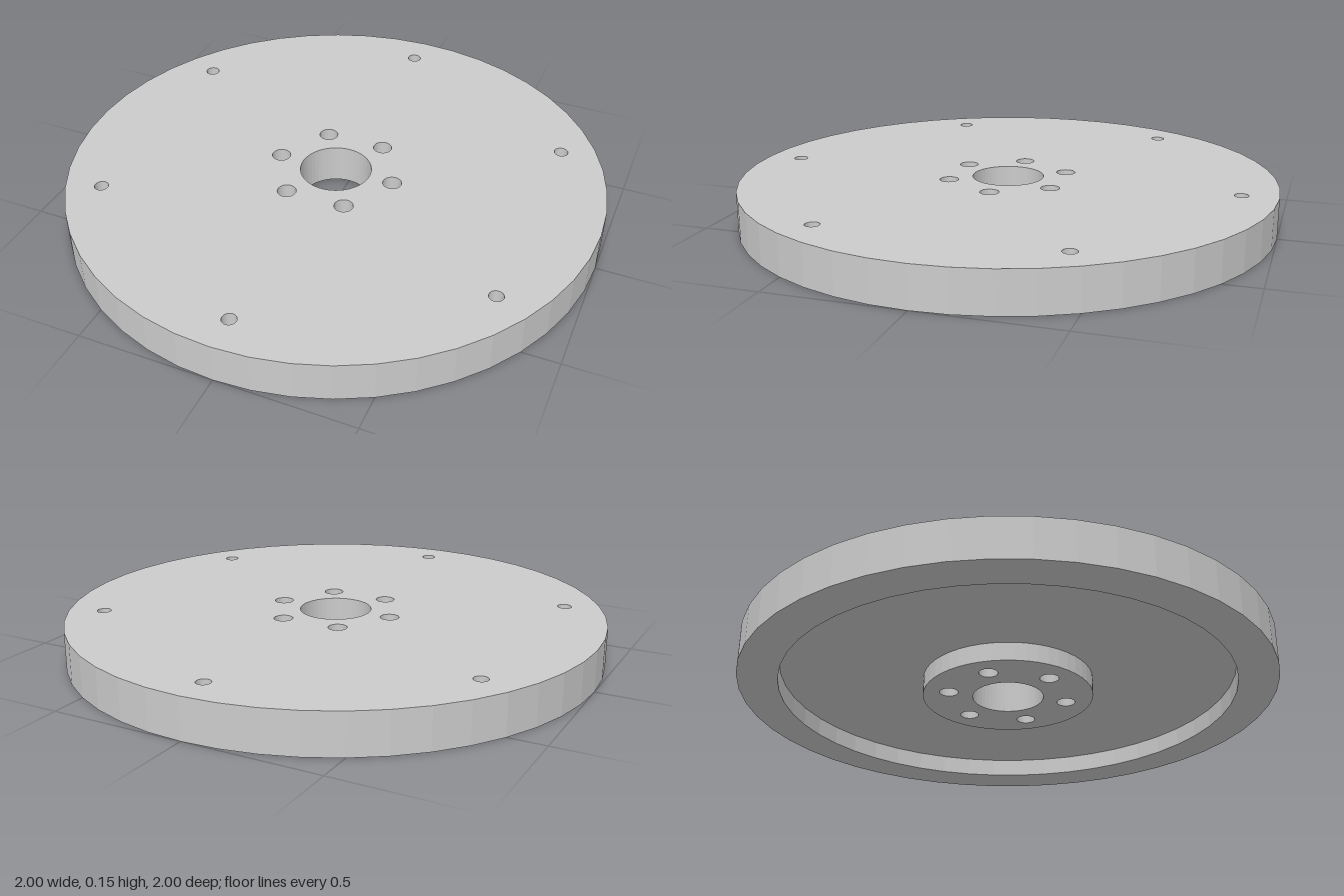
import * as THREE from 'three';

const HEIGHT = 0.15, OUTER = 1, RECESS = 0.853, HUB = 0.32, BORE = 0.133;
const RECESS_Y = 0.07, BLIND_Y = 0.08;
const material = new THREE.MeshStandardMaterial({ color: 0xcccccc, flatShading: true });

// Regular polygon standing in for a circle
function ring(r, n, cx = 0, cy = 0) {
  return Array.from({ length: n }, (_, i) => {
    const a = (i / n) * Math.PI * 2;
    return new THREE.Vector2(cx + r * Math.cos(a), cy + r * Math.sin(a));
  });
}

// Six [x, z] centres on a bolt circle
function boltCircle(r, start) {
  return Array.from({ length: 6 }, (_, i) => {
    const a = start + (i * Math.PI) / 3;
    return [r * Math.cos(a), r * Math.sin(a)];
  });
}

export function createModel() {
  const model = new THREE.Group();
  model.name = 'flangedDisc';

  const add = (name, geometry) => {
    const mesh = new THREE.Mesh(geometry, material);
    mesh.name = name;
    model.add(mesh);
  };

  // Flat horizontal face with holes, looking up or down
  const face = (name, outline, holes, y, up) => {
    const shape = new THREE.Shape(outline);
    shape.holes = holes.map((h) => new THREE.Path(h));
    add(name, new THREE.ShapeGeometry(shape).rotateX(up ? -Math.PI / 2 : Math.PI / 2).translate(0, y, 0));
  };

  // Upright round wall, facing outward or inward
  const wall = (name, r, n, y0, y1, inward, x = 0, z = 0) => {
    let g = new THREE.CylinderGeometry(r, r, y1 - y0, n, 1, true);
    if (inward) g.scale(-1, 1, 1);
    g = g.toNonIndexed();
    g.computeVertexNormals();
    add(name, g.translate(x, (y0 + y1) / 2, z));
  };

  const bolts = boltCircle(0.225, 0);
  const blinds = boltCircle(0.868, Math.PI / 6);
  const bore = ring(BORE, 48);
  const boltHoles = bolts.map(([x, z]) => ring(0.035, 24, x, z));
  const blindHoles = blinds.map(([x, z]) => ring(0.026, 24, x, z));

  // Top and outer edge
  face('topFace', ring(OUTER, 48), [bore, ...boltHoles, ...blindHoles], HEIGHT, true);
  wall('outerEdge', OUTER, 48, 0, HEIGHT, false);

  // Underside: rim, recess and hub
  face('rimUnderside', ring(OUTER, 48), [ring(RECESS, 48)], 0, false);
  wall('recessOuterWall', RECESS, 48, 0, RECESS_Y, true);
  face('recessFloor', ring(RECESS, 48), [ring(HUB, 48)], RECESS_Y, false);
  wall('hubWall', HUB, 48, 0, RECESS_Y, false);
  face('hubUnderside', ring(HUB, 48), [bore, ...boltHoles], 0, false);

  // Through holes
  wall('centreBore', BORE, 48, 0, HEIGHT, true);
  bolts.forEach(([x, z]) => wall('boltHole', 0.035, 24, 0, HEIGHT, true, x, z));

  // Blind holes around the rim
  blinds.forEach(([x, z], i) => {
    wall('blindHole', 0.026, 24, BLIND_Y, HEIGHT, true, x, z);
    face('blindHoleFloor', blindHoles[i], [], BLIND_Y, true);
  });

  return model;
}
